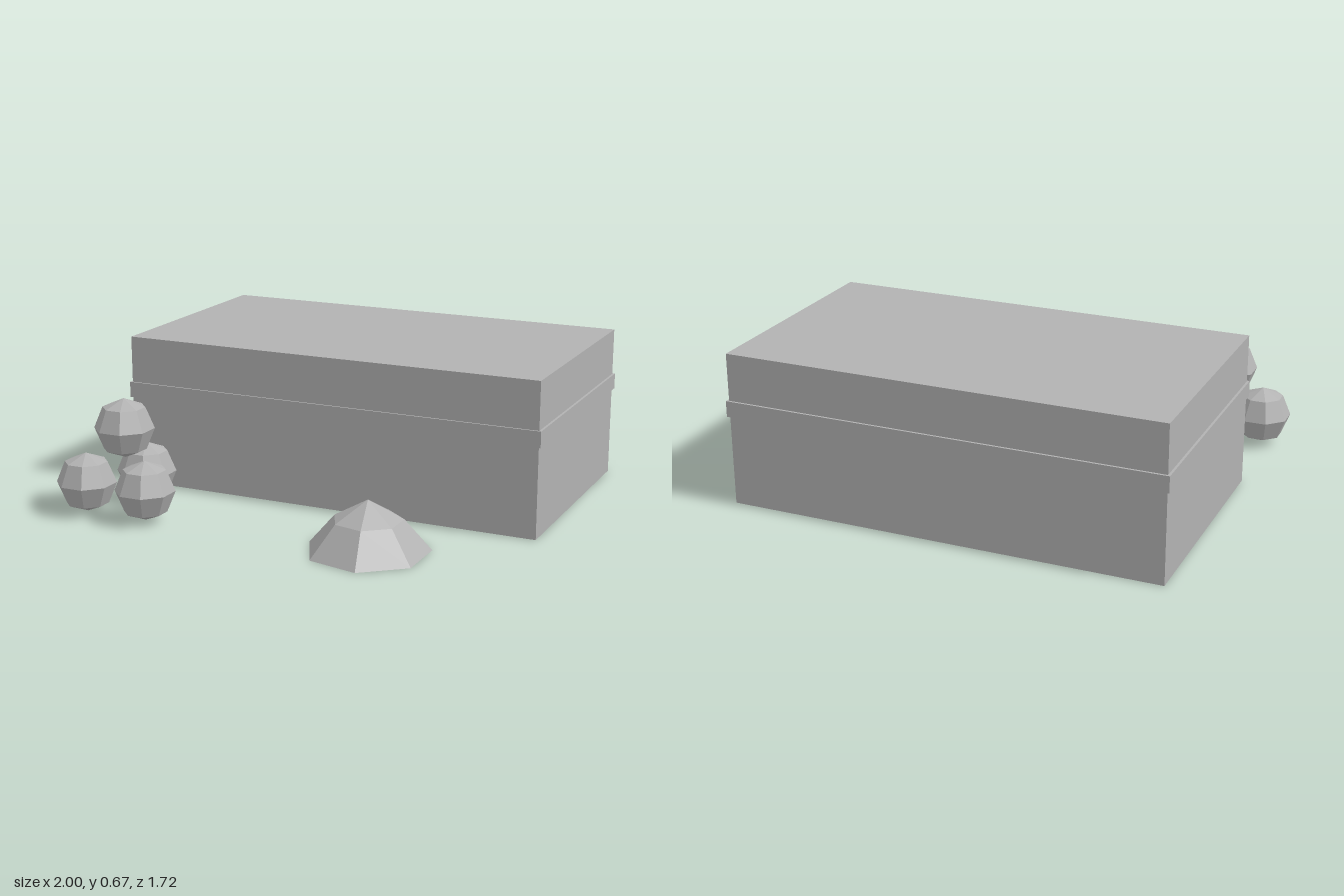
import * as THREE from 'three';

export function createModel() {
  const model = new THREE.Group();
  const stone = new THREE.MeshStandardMaterial({ color: 0xb2b2b2, flatShading: true });
  stone.name = 'plain grey';

  function add(name, geometry, x, y, z) {
    const mesh = new THREE.Mesh(geometry, stone);
    mesh.name = name;
    mesh.position.set(x, y, z);
    model.add(mesh);
    return mesh;
  }

  // Long block with a slightly wider band around it
  add('block', new THREE.BoxGeometry(1.91, 0.672, 1.055), 0.03, 0.336, -0.325);
  add('band', new THREE.BoxGeometry(1.93, 0.07, 1.072), 0.03, 0.43, -0.326);

  // Stack of four faceted balls, flat sides facing the axes
  const ball = new THREE.SphereGeometry(0.13, 8, 4).rotateY(Math.PI / 8);
  const balls = [
    [-0.88, 0.134, 0.665],
    [-0.59, 0.134, 0.665],
    [-0.735, 0.134, 0.412],
    [-0.735, 0.37, 0.58],
  ];
  balls.forEach(([x, y, z], i) => add('ball' + (i + 1), ball, x, y, z));

  // Seven-sided mound with a closed underside and one corner on -x
  const profile = [[0, 0], [0.26, 0], [0.147, 0.132], [0, 0.216]]
    .map(([r, y]) => new THREE.Vector2(r, y));
  add('mound', new THREE.LatheGeometry(profile, 7, -Math.PI / 2), 0.412, 0, 0.606);

  return model;
}
